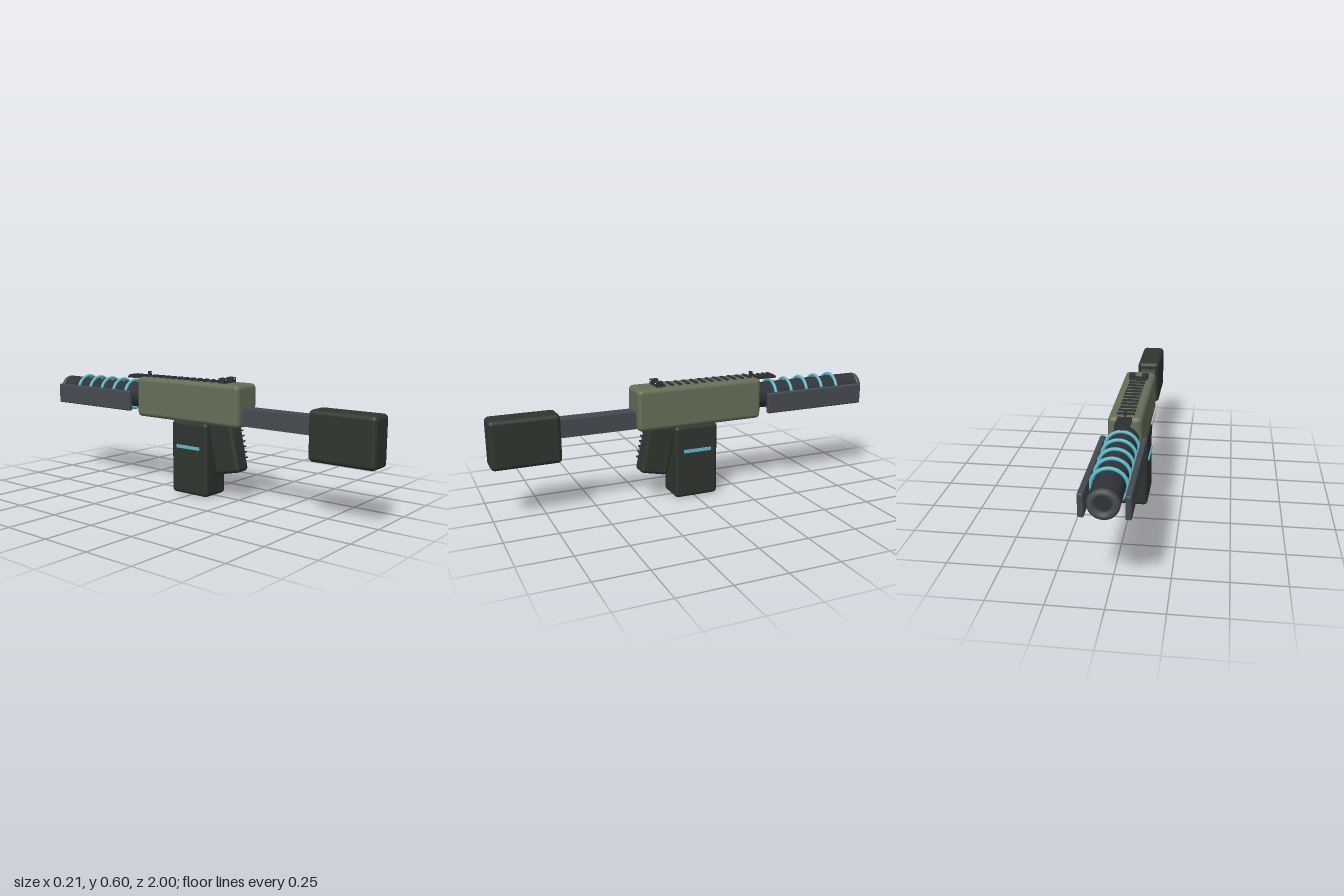
import * as THREE from 'three';
import { RoundedBoxGeometry } from 'three/addons/geometries/RoundedBoxGeometry.js';

const mat = (color) => new THREE.MeshStandardMaterial({ color });

export function createModel() {
  const root = new THREE.Group();
  const olive = mat(0x666e57), dark = mat(0x2f352f), steel = mat(0x464a50);
  const black = mat(0x303438), cyan = mat(0x5cbccb), pale = mat(0xcfe0d4);

  const add = (name, geometry, material, x, y, z, parent = root) => {
    const mesh = new THREE.Mesh(geometry, material);
    mesh.name = name;
    mesh.position.set(x, y, z);
    parent.add(mesh);
    return mesh;
  };
  const box = (name, w, h, d, material, x, y, z, parent) =>
    add(name, new THREE.BoxGeometry(w, h, d), material, x, y, z, parent);
  const soft = (name, w, h, d, r, material, x, y, z, parent) =>
    add(name, new RoundedBoxGeometry(w, h, d, 3, r), material, x, y, z, parent);

  // Body, stock and magazine
  soft('receiver', 0.158, 0.207, 0.665, 0.022, olive, 0, 0.4735, -0.0375);
  soft('stock', 0.122, 0.237, 0.332, 0.022, dark, 0, 0.381, 0.834);
  box('stockArm', 0.08, 0.085, 0.41, steel, 0, 0.422, 0.48);
  soft('magazine', 0.158, 0.375, 0.23, 0.02, dark, 0, 0.1875, -0.01);

  // Slanted grip with ribs across its back
  const grip = new THREE.Group();
  grip.name = 'grip';
  grip.position.set(0, 0.28, 0.175);
  grip.rotation.x = -0.215;
  root.add(grip);
  soft('gripBody', 0.09, 0.3, 0.148, 0.02, dark, 0, 0, 0, grip);
  for (let i = 0; i < 7; i++) {
    box('gripRib', 0.084, 0.007, 0.012, black, 0, -0.085 + i * 0.027, 0.074, grip);
  }

  // Barrel, muzzle ring and glowing coils
  const barrelY = 0.473;
  const barrel = add('barrel', new THREE.CylinderGeometry(0.066, 0.066, 0.61, 32), black, 0, barrelY, -0.665);
  barrel.rotation.x = Math.PI / 2;
  add('muzzleRing', new THREE.TorusGeometry(0.05, 0.0165, 12, 32), steel, 0, barrelY, -0.9835);
  for (let i = 0; i < 5; i++) {
    add('coil', new THREE.TorusGeometry(0.076, 0.008, 10, 40), cyan, 0, barrelY, -0.46 - i * 0.0925);
  }

  // Top rail
  for (let i = 0; i < 12; i++) {
    box('railRidge', 0.08, 0.012, 0.013, black, 0, 0.578, 0.145 - i * 0.0427);
  }
  box('frontRailPlate', 0.066, 0.01, 0.12, black, 0, 0.569, -0.42);
  for (let i = 0; i < 4; i++) {
    box('frontRailRidge', 0.066, 0.01, 0.013, black, 0, 0.577, -0.375 - i * 0.029);
  }

  // Sights with pale aiming dots
  const dot = (x, y, z) => add('sightDot', new THREE.SphereGeometry(0.0035, 10, 8), pale, x, y, z);
  box('rearSightBase', 0.09, 0.013, 0.034, black, 0, 0.578, 0.172);
  box('frontSight', 0.008, 0.03, 0.02, black, 0, 0.588, -0.347);
  dot(0, 0.596, -0.337);

  // Paired parts on both sides
  for (const s of [-1, 1]) {
    soft('sidePlate', 0.026, 0.105, 0.566, 0.007, steel, s * 0.094, 0.449, -0.682);
    box('magazineStripe', 0.01, 0.016, 0.145, cyan, s * 0.08, 0.245, -0.0125);
    box('rearSightPost', 0.03, 0.027, 0.036, black, s * 0.033, 0.589, 0.172);
    dot(s * 0.033, 0.595, 0.19);
  }
  return root;
}
